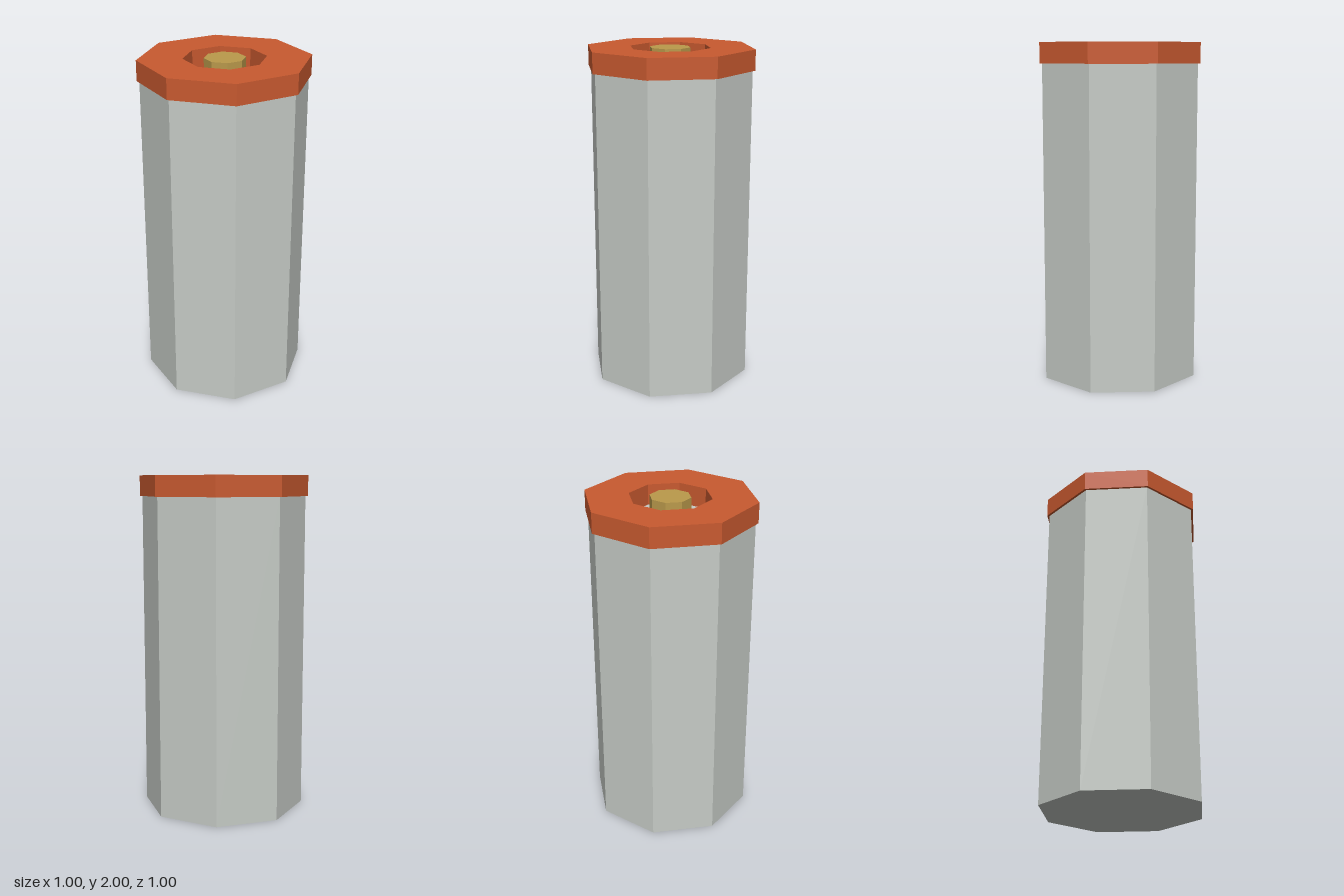
import * as THREE from 'three';

const SIDES = 8;
const BODY_TOP = 1.88;
const TOP = 2;

export function createModel() {
  const paint = (name, color) => {
    const material = new THREE.MeshStandardMaterial({ color });
    material.name = name;
    material.flatShading = true;
    return material;
  };
  const grey = paint('light grey', 0xc6cbc6);
  const orange = paint('orange', 0xc95a30);
  const brass = paint('brass', 0xba9a4b);

  const group = new THREE.Group();
  group.name = 'cartridge';
  const add = (name, geometry, material, y) => {
    const mesh = new THREE.Mesh(geometry, material);
    mesh.name = name;
    mesh.position.y = y;
    group.add(mesh);
  };

  // Octagonal prism standing on its base
  const prism = (radius, height) => new THREE.CylinderGeometry(radius, radius, height, SIDES);

  // Octagonal outline with corners on the axes
  const octagon = (radius) => Array.from({ length: SIDES }, (_, i) => {
    const a = (i / SIDES) * Math.PI * 2;
    return new THREE.Vector2(Math.cos(a) * radius, Math.sin(a) * radius);
  });

  // Main body
  add('body', prism(0.485, BODY_TOP), grey, BODY_TOP / 2);

  // Rim plate with an octagonal opening
  const rimShape = new THREE.Shape(octagon(0.5));
  rimShape.holes.push(new THREE.Path(octagon(0.24).reverse()));
  const rim = new THREE.ExtrudeGeometry(rimShape, { depth: TOP - BODY_TOP, bevelEnabled: false });
  rim.rotateX(-Math.PI / 2);
  add('rim', rim, orange, BODY_TOP);

  // Contact pin in the opening, flush with the rim
  add('pin', prism(0.12, TOP - BODY_TOP), brass, (TOP + BODY_TOP) / 2);

  return group;
}
